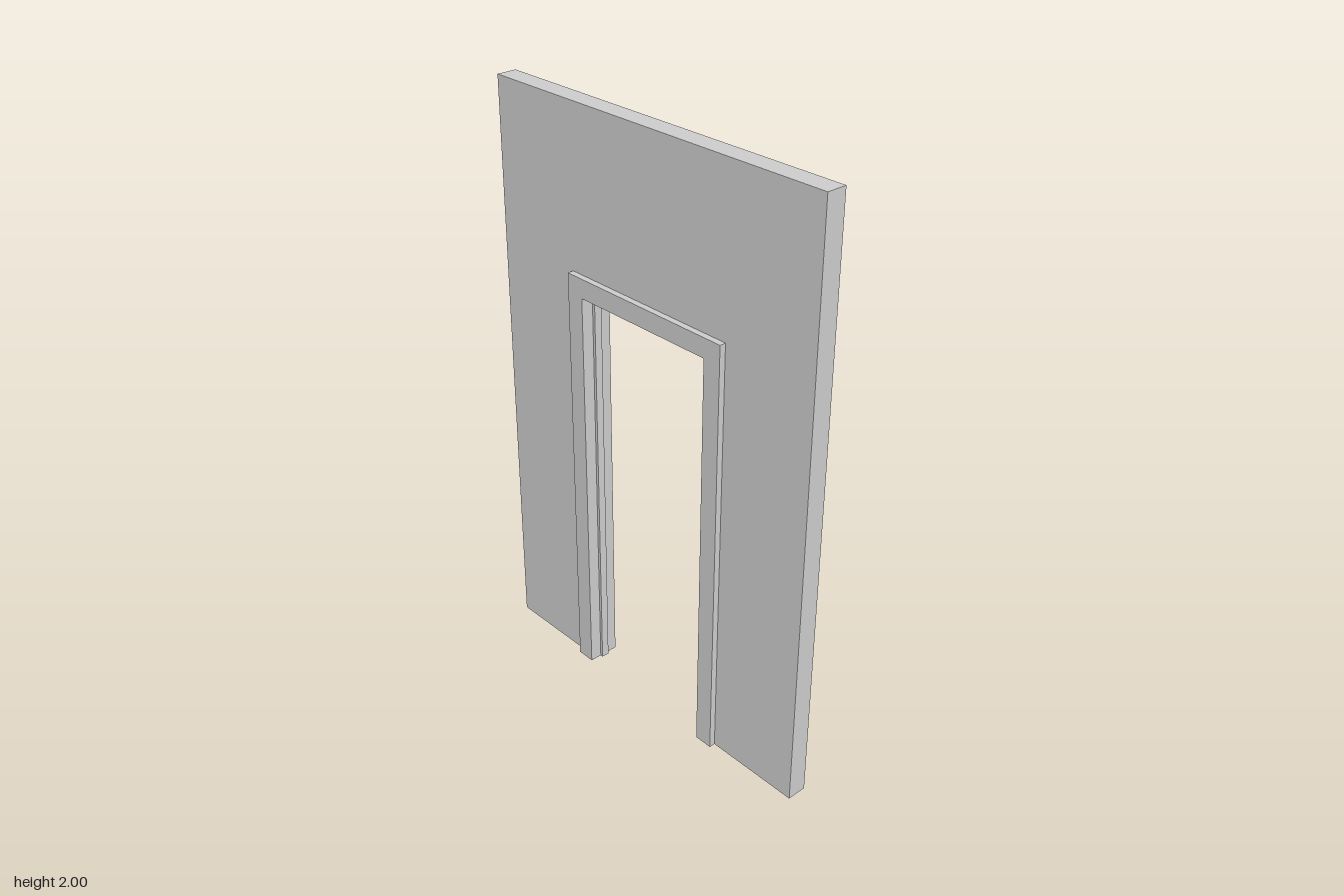
import * as THREE from 'three';

const material = new THREE.MeshStandardMaterial({ color: 0xcccccc });

// Upside-down U: outer half-width and top, inner half-width and top, depth centred on z = 0
function arch(name, outerX, outerY, innerX, innerY, depth) {
  const shape = new THREE.Shape([
    [-outerX, 0], [-innerX, 0], [-innerX, innerY], [innerX, innerY],
    [innerX, 0], [outerX, 0], [outerX, outerY], [-outerX, outerY],
  ].map(([x, y]) => new THREE.Vector2(x, y)));
  const geometry = new THREE.ExtrudeGeometry(shape, { depth, bevelEnabled: false });
  geometry.translate(0, 0, -depth / 2);
  const mesh = new THREE.Mesh(geometry, material);
  mesh.name = name;
  return mesh;
}

export function createModel() {
  const group = new THREE.Group();
  group.name = 'doorwayWall';
  group.add(
    // wall panel around the doorway
    arch('wall', 0.666, 2, 0.331, 1.465, 0.068),
    // casing that stands proud of the wall on both sides
    arch('doorFrame', 0.331, 1.465, 0.267, 1.4, 0.11),
    // thin door stop along the middle of the reveal
    arch('doorStop', 0.267, 1.4, 0.257, 1.39, 0.027),
  );
  return group;
}
